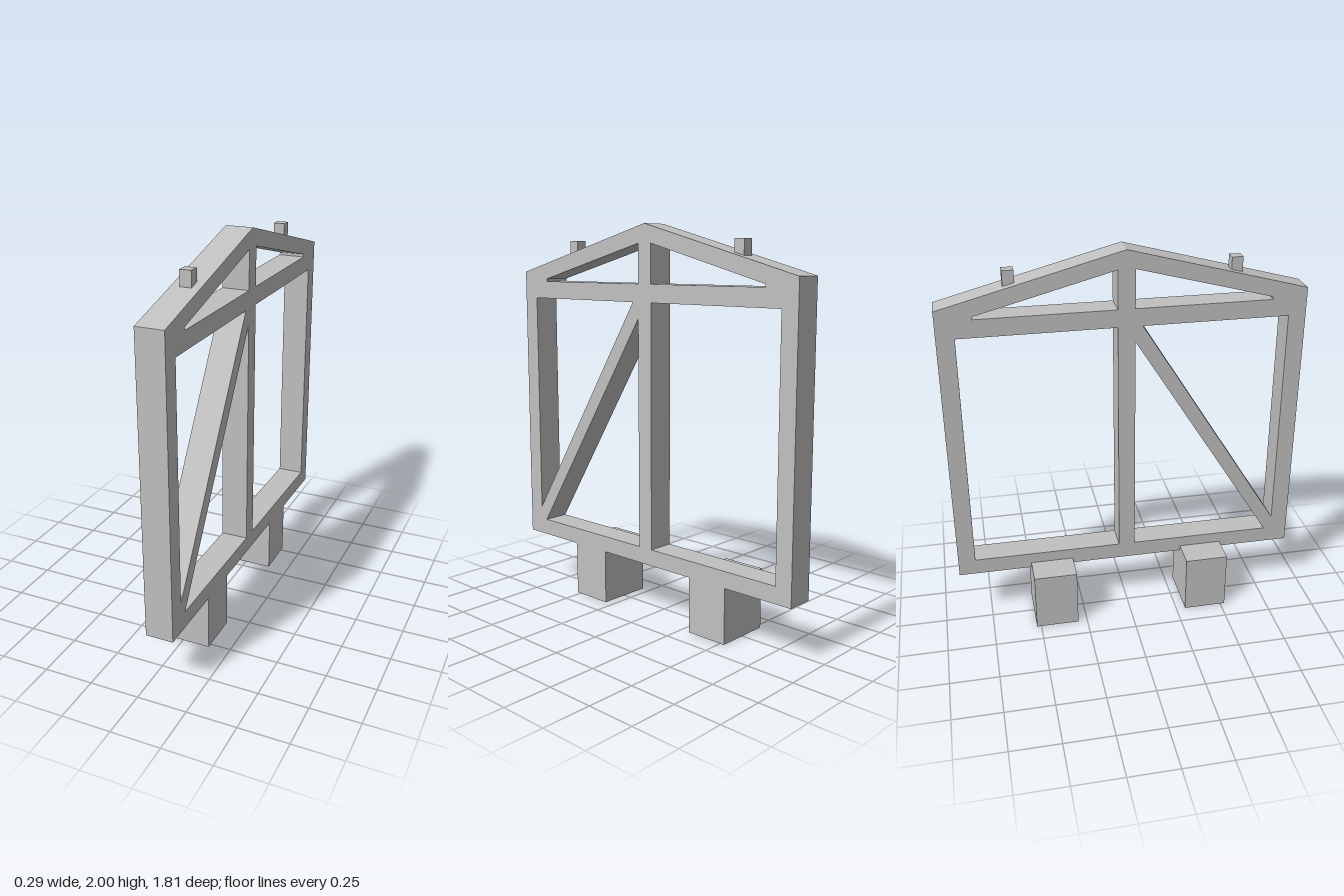
import * as THREE from 'three';

// Extrude a profile drawn in (z, y) so that it spans x0..x1
function extrudeAcross(shape, x0, x1) {
  const g = new THREE.ExtrudeGeometry(shape, { depth: x1 - x0, bevelEnabled: false });
  g.rotateY(-Math.PI / 2);
  g.translate(x1, 0, 0);
  return g;
}

const outline = (pts) => pts.map(([a, b]) => new THREE.Vector2(a, b));

export function createModel() {
  const model = new THREE.Group();
  model.name = 'gableFrameStand';
  const grey = new THREE.MeshStandardMaterial({ color: 0xc0c0c0 });
  grey.name = 'plain grey';

  const add = (geometry, name) => {
    const mesh = new THREE.Mesh(geometry, grey);
    mesh.name = name;
    model.add(mesh);
    return mesh;
  };

  // Gabled frame with its openings; the brace lies between the two triangles
  const frame = new THREE.Shape(outline([
    [-0.907, 0.285], [0.907, 0.285], [0.907, 1.76], [0, 2], [-0.907, 1.76],
  ]));
  const openings = [
    [[-0.043, 0.37], [-0.043, 1.62], [-0.818, 1.62], [-0.818, 0.37]],
    [[0.818, 0.44], [0.818, 1.62], [0.08, 1.62]],
    [[0.778, 0.37], [0.043, 0.37], [0.043, 1.54]],
  ];
  for (const s of [1, -1]) {
    openings.push([[s * 0.043, 1.71], [s * 0.043, 1.905], [s * 0.73, 1.724], [s * 0.73, 1.71]]);
  }
  for (const pts of openings) frame.holes.push(new THREE.Path(outline(pts)));
  add(extrudeAcross(frame, 0.005, 0.143), 'frame');

  // Notched foot block that carries the bottom rail, drawn in (x, y)
  const footProfile = new THREE.Shape(outline([
    [-0.147, 0], [0.143, 0], [0.143, 0.285], [0.005, 0.285], [0.005, 0.313], [-0.147, 0.313],
  ]));
  const footGeometry = new THREE.ExtrudeGeometry(footProfile, { depth: 0.225, bevelEnabled: false });
  footGeometry.translate(0, 0, -0.1125);

  // Small peg standing on each roof slope
  const pegGeometry = new THREE.BoxGeometry(0.056, 0.08, 0.056);

  for (const [s, side] of [[1, 'front'], [-1, 'back']]) {
    add(footGeometry, side + 'Foot').position.z = s * 0.411;
    add(pegGeometry, side + 'Peg').position.set(0.075, 1.882, s * 0.552);
  }
  return model;
}
